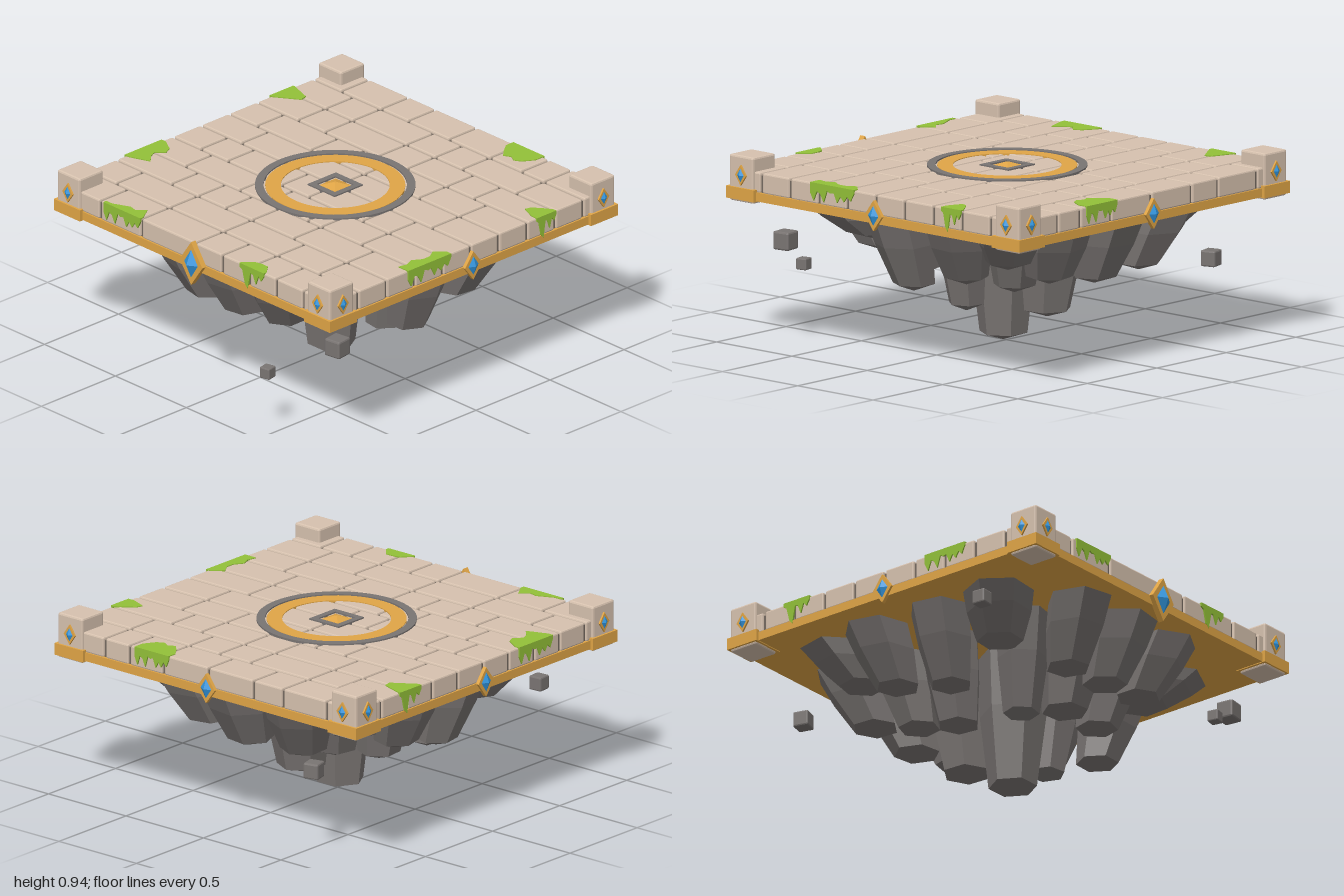
import * as THREE from 'three';
import { RoundedBoxGeometry } from 'three/addons/geometries/RoundedBoxGeometry.js';

const mat = (name, color) => {
  const m = new THREE.MeshStandardMaterial({ color });
  m.name = name;
  return m;
};

export function createModel() {
  const stone = mat('paleStone', 0xd6c1ae);
  const grout = mat('darkGrout', 0x756a60);
  const gold = mat('gold', 0xe0a546);
  const blue = mat('blueCrystal', 0x3296de);
  const rock = mat('greyRock', 0x797472);
  const moss = mat('moss', 0x92c038);

  const model = new THREE.Group();
  model.name = 'floatingPlatform';
  const body = new THREE.Group();
  body.name = 'platform';
  body.position.z = -0.012;
  model.add(body);

  const add = (parent, name, geometry, material, x = 0, y = 0, z = 0) => {
    const mesh = new THREE.Mesh(geometry, material);
    mesh.name = name;
    mesh.position.set(x, y, z);
    parent.add(mesh);
    return mesh;
  };
  const flat = (g) => {
    const f = g.index ? g.toNonIndexed() : g;
    f.computeVertexNormals();
    return f;
  };
  const block = (w, h, d, r) => flat(new RoundedBoxGeometry(w, h, d, 1, r));
  const extrude = (shape, depth, curveSegments = 12) =>
    new THREE.ExtrudeGeometry(shape, { depth, bevelEnabled: false, curveSegments });

  // Gold base tray and the dark bed between the bricks
  add(body, 'goldBase', new THREE.BoxGeometry(1.914, 0.044, 1.914), gold, 0, 0.748, 0);
  add(body, 'groutBed', new THREE.BoxGeometry(1.882, 0.09, 1.882), grout, 0, 0.81, 0);

  // Brick rows from back to front, listed by the x of their joints
  const joints = [
    [-0.76, -0.48, -0.29, 0, 0.29, 0.51, 0.67],
    [-0.67, -0.48, -0.1, 0.1, 0.29, 0.67],
    [-0.67, -0.48, -0.1, 0.1, 0.38, 0.57],
    [-0.76, -0.38, -0.19, 0, 0.38, 0.67],
    [-0.67, -0.29, 0, 0.29, 0.67],
    [-0.76, -0.57, -0.19, 0, 0.38, 0.57],
    [-0.67, -0.29, -0.1, 0.19, 0.29, 0.57],
    [-0.57, -0.38, -0.19, 0, 0.29, 0.67],
    [-0.76, -0.38, 0, 0.38, 0.67],
    [-0.67, -0.38, 0, 0.19, 0.38, 0.57, 0.76],
  ];
  joints.forEach((row, i) => {
    const edges = [-0.959, ...row, 0.959];
    // The first and last rows reach out to the rim
    const outer = i === 0 ? -1 : i === joints.length - 1 ? 1 : 0;
    for (let k = 0; k < edges.length - 1; k++) {
      const w = edges[k + 1] - edges[k] - 0.015;
      add(body, 'brick', block(w, 0.102, 0.175 + Math.abs(outer) * 0.009, 0.008), stone,
        (edges[k] + edges[k + 1]) / 2, 0.819, -0.855 + i * 0.19 + outer * 0.0045);
    }
  });

  // Round emblem in the floor
  const ring = (name, outer, inner, top, material) => {
    const s = new THREE.Shape().absarc(0, 0, outer, 0, Math.PI * 2);
    s.holes.push(new THREE.Path().absarc(0, 0, inner, 0, Math.PI * 2, true));
    add(body, name, extrude(s, 0.012, 32).rotateX(-Math.PI / 2), material, 0, top - 0.012, 0.005);
  };
  ring('outerRing', 0.392, 0.35, 0.877, rock);
  ring('goldRing', 0.342, 0.266, 0.874, gold);
  for (const s of [-1, 1]) {
    add(body, 'emblemFrame', new THREE.BoxGeometry(0.19, 0.02, 0.032), rock, 0, 0.867, s * 0.079 + 0.005);
    add(body, 'emblemFrame', new THREE.BoxGeometry(0.032, 0.02, 0.126), rock, s * 0.079, 0.867, 0.005);
  }
  add(body, 'emblemPyramid',
    flat(new THREE.CylinderGeometry(0.01, 0.088, 0.02, 4).rotateY(Math.PI / 4)), gold, 0, 0.878, 0.005);

  // Diamond ornament: gold lozenge with a faceted crystal, facing +z
  const ornament = (parent, x, y, z, hw, hh, thick, bulge) => {
    const g = new THREE.Group();
    g.name = 'diamondOrnament';
    g.position.set(x, y, z);
    parent.add(g);
    const s = new THREE.Shape([[0, -hh], [hw, 0], [0, hh], [-hw, 0]].map((p) => new THREE.Vector2(...p)));
    add(g, 'goldLozenge', extrude(s, thick), gold);
    const crystal = new THREE.OctahedronGeometry(1).scale(hw * 0.6, hh * 0.65, bulge);
    add(g, 'crystal', flat(crystal), blue, 0, 0, thick);
  };

  // Moss patch: ragged sheet on top plus drips down the side, u runs along the edge
  const ragged = (u0, u1, values, sign) => {
    const pts = values.map((v, i) =>
      new THREE.Vector2(u0 + ((u1 - u0) * i) / (values.length - 1), sign * v));
    return new THREE.Shape([new THREE.Vector2(u0, 0), ...pts, new THREE.Vector2(u1, 0)]);
  };
  const mossPatch = (parent, u0, u1, depths, drips) => {
    add(parent, 'mossTop', extrude(ragged(u0, u1, depths, 1), 0.006).rotateX(-Math.PI / 2),
      moss, 0, 0.868, 0.959);
    add(parent, 'mossDrips', extrude(ragged(u0, u1, drips, -1), 0.009), moss, 0, 0.874, 0.95);
  };
  const longDrips = [0.05, 0.09, 0.04, 0.05, 0.09, 0.03, 0.04, 0.035, 0.08, 0.045, 0.07, 0.04, 0.06, 0.02];
  const shortDrips = [0.02, 0.03, 0.1, 0.12, 0.03, 0.035, 0.08, 0.03, 0.05, 0.02];
  const patches = [
    [[-0.64, -0.38, [0.02, 0.02, 0.04, 0.06, 0.05, 0.09, 0.02], longDrips],
      [0.32, 0.49, [0.01, 0.06, 0.07, 0.07, 0.02], shortDrips]],
    [[-0.43, -0.14, [0.07, 0.06, 0.08, 0.05, 0.05, 0.08, 0.03], longDrips],
      [0.44, 0.57, [0.04, 0.12, 0.11, 0.07, 0.02], shortDrips]],
    [[-0.47, -0.25, [0.06, 0.12, 0.14, 0.12, 0.14, 0.1, 0.05], longDrips]],
    [[-0.63, -0.47, [0.01, 0.13, 0.14, 0.08, 0.02], shortDrips],
      [0.26, 0.51, [0.03, 0.1, 0.12, 0.08, 0.1, 0.14, 0.03], longDrips]],
  ];

  // Four sides: front, left, back, right of the platform
  ['frontSide', 'leftSide', 'backSide', 'rightSide'].forEach((name, i) => {
    const side = new THREE.Group();
    side.name = name;
    side.rotation.y = (i * Math.PI) / 2;
    body.add(side);
    const big = i === 0;
    ornament(side, 0, 0.767, 0.95, big ? 0.08 : 0.057, big ? 0.115 : 0.076, big ? 0.03 : 0.02, big ? 0.032 : 0.018);
    for (const s of [-1, 1]) ornament(side, s * 0.88, 0.845, 0.958, 0.036, 0.051, 0.014, 0.012);
    patches[i].forEach((p) => mossPatch(side, ...p));
  });

  // Corner posts with gold collars
  for (const x of [-1, 1]) for (const z of [-1, 1]) {
    add(body, 'cornerCollar', new THREE.BoxGeometry(0.184, 0.06, 0.184), gold, x * 0.882, 0.752, z * 0.882);
    add(body, 'cornerPost', block(0.16, 0.23, 0.16, 0.01), stone, x * 0.883, 0.825, z * 0.883);
  }

  // Hanging rock columns: x, z, tip height, shoulder radius
  const columns = [
    [0, 0.03, 0, 0.12], [0.32, -0.02, 0.2, 0.092], [-0.3, 0.33, 0.2, 0.09],
    [0, -0.26, 0.155, 0.12], [0, 0.36, 0.31, 0.115], [0.27, 0.34, 0.32, 0.105],
    [-0.32, -0.05, 0.24, 0.105], [0.3, -0.32, 0.33, 0.105], [-0.28, -0.33, 0.32, 0.105],
    [-0.56, 0.1, 0.325, 0.105], [0.59, 0.08, 0.325, 0.105], [0.57, -0.25, 0.4, 0.11],
    [-0.58, -0.22, 0.4, 0.11], [-0.55, 0.4, 0.48, 0.115], [0.56, 0.38, 0.54, 0.135],
    [-0.27, 0.6, 0.375, 0.11], [0, 0.61, 0.38, 0.11], [0.27, 0.6, 0.41, 0.11],
    [0.03, -0.6, 0.375, 0.115], [0.32, -0.57, 0.41, 0.115], [-0.3, -0.59, 0.39, 0.115],
    [0.53, -0.49, 0.5, 0.115], [-0.53, -0.48, 0.5, 0.115],
  ];
  columns.forEach(([x, z, tip, r], i) => {
    const shoulder = tip + 0.038;
    const top = 0.735;
    const mid = shoulder + (top - shoulder) * 0.55;
    const profile = [[0, tip], [r, shoulder], [r * 1.38, mid], [r * 1.52, top]];
    const g = new THREE.LatheGeometry(profile.map((p) => new THREE.Vector2(...p)), 6);
    g.rotateY(i * 0.37 + (i === 0 ? Math.PI / 6 : 0));
    // Lean each column outward toward the platform
    const p = g.attributes.position;
    for (let k = 0; k < p.count; k++) {
      const t = 0.2 * Math.max(0, (p.getY(k) - shoulder) / (top - shoulder));
      p.setX(k, p.getX(k) + x * t);
      p.setZ(k, p.getZ(k) + z * t);
    }
    add(body, 'rockColumn', flat(g), rock, x, 0, z);
  });

  // Loose floating stones: x, y, z, size
  const stones = [
    [-0.85, 0.6, 0.52, 0.072], [0.79, 0.515, 0.735, 0.092],
    [0.475, 0.325, 0.905, 0.058], [-0.57, 0.44, -0.835, 0.08],
  ];
  stones.forEach(([x, y, z, s], i) => {
    add(model, 'floatingStone', block(s, s, s, s * 0.1), rock, x, y, z).rotation.y = 0.08 + i * 0.06;
  });

  return model;
}
